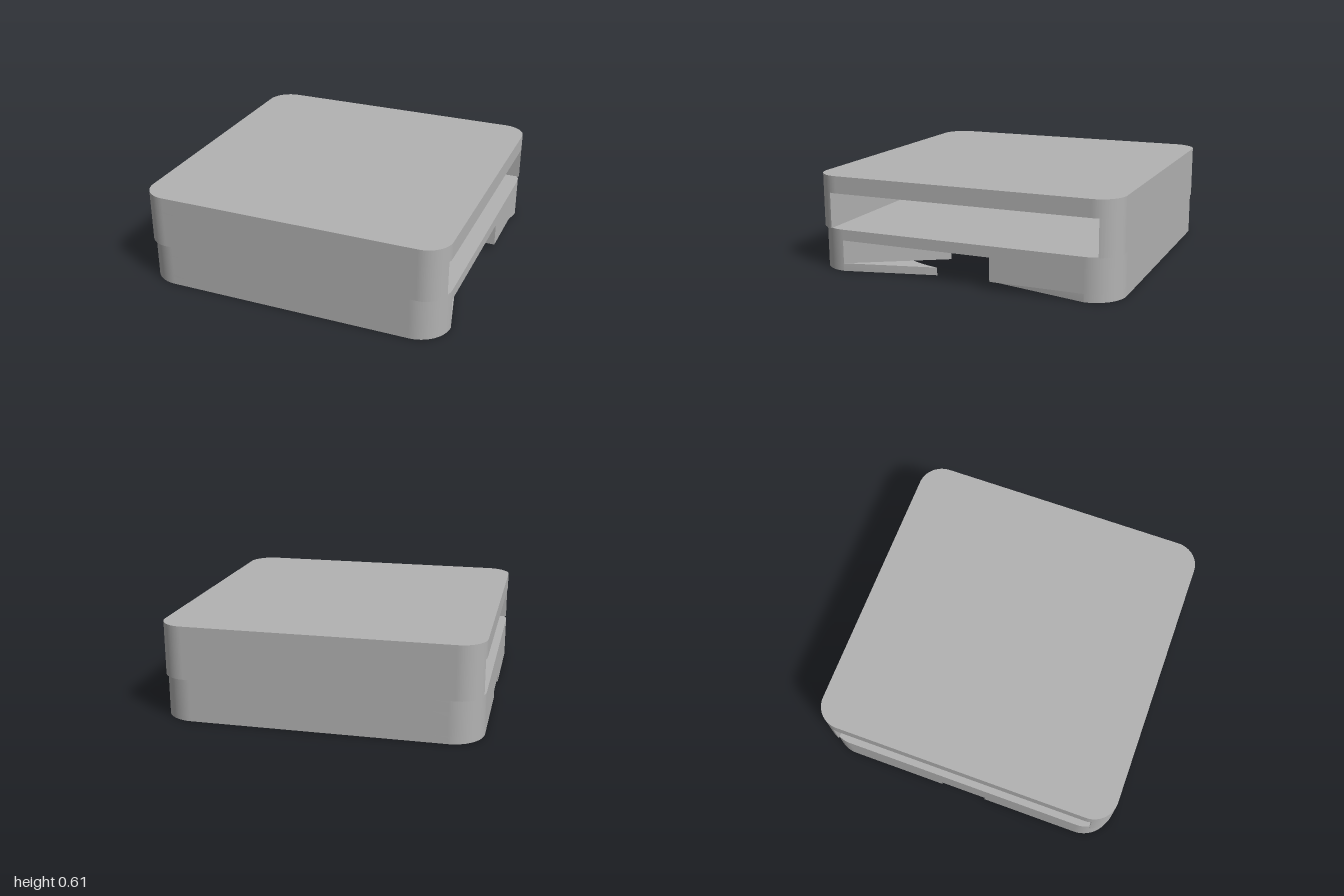
import * as THREE from 'three';
import { toCreasedNormals } from 'three/addons/utils/BufferGeometryUtils.js';

const UPPER_R = 0.16, BASE_R = 0.2;      // corner radii
const RING_R = 0.885, RECESS_R = 0.69;   // round recesses underneath
const WALL_Z = 0.885;                    // inner face of front and back walls
const NOTCH = 0.21;                      // half width of the tall side notch

// Angle of the point on a circle at plan height z, on the +x side
const angleAt = (r, z) => Math.asin(z / r);

function roundedSquare(r) {
  const c = 1 - r, s = new THREE.Shape();
  for (let i = 0; i < 4; i++) {
    const a = i * Math.PI / 2;
    const sx = i === 0 || i === 3 ? 1 : -1, sz = i < 2 ? 1 : -1;
    s.absarc(sx * c, sz * c, r, a, a + Math.PI / 2, false);
  }
  s.closePath();
  return s;
}

// Wall strip along the front (side = 1) or back (side = -1)
function wallShape(side) {
  const c = 1 - UPPER_R, a = angleAt(UPPER_R, WALL_Z - c), s = new THREE.Shape();
  s.absarc(c, side * c, UPPER_R, side * a, side * Math.PI / 2, side < 0);
  s.absarc(-c, side * c, UPPER_R, side * Math.PI / 2, side * (Math.PI - a), side < 0);
  s.closePath();
  return s;
}

// Half of the foot layer, around the wide shallow ring
function footShape(side) {
  const c = 1 - BASE_R, s = new THREE.Shape();
  s.moveTo(1, side * NOTCH);
  s.absarc(c, side * c, BASE_R, 0, side * Math.PI / 2, side < 0);
  s.absarc(-c, side * c, BASE_R, side * Math.PI / 2, side * Math.PI, side < 0);
  s.lineTo(-1, side * 0.155);            // tapered small notch
  s.absarc(0, 0, RING_R, side * (Math.PI - angleAt(RING_R, 0.19)),
    side * angleAt(RING_R, NOTCH), side > 0);
  s.closePath();
  return s;
}

// Layer around the deep round recess, open through the tall notch
function recessShape() {
  const c = 1 - BASE_R, a = angleAt(RECESS_R, NOTCH), s = new THREE.Shape();
  s.moveTo(1, NOTCH);
  s.absarc(c, c, BASE_R, 0, Math.PI / 2, false);
  s.absarc(-c, c, BASE_R, Math.PI / 2, Math.PI, false);
  s.absarc(-c, -c, BASE_R, Math.PI, Math.PI * 1.5, false);
  s.absarc(c, -c, BASE_R, Math.PI * 1.5, Math.PI * 2, false);
  s.lineTo(1, -NOTCH);
  s.absarc(0, 0, RECESS_R, -a, a - Math.PI * 2, true);
  s.closePath();
  return s;
}

export function createModel() {
  const group = new THREE.Group();
  group.name = 'slottedCase';
  const grey = new THREE.MeshStandardMaterial({ color: 0xb3b3b3 });
  grey.name = 'grey';

  // Extrude a plan shape (x, z) between two heights
  const layer = (name, shape, y0, y1) => {
    let g = new THREE.ExtrudeGeometry(shape, { depth: y1 - y0, bevelEnabled: false, curveSegments: 32 });
    g.rotateX(Math.PI / 2).translate(0, y1, 0);
    g = toCreasedNormals(g, 0.4);
    const mesh = new THREE.Mesh(g, grey);
    mesh.name = name;
    group.add(mesh);
  };

  // Base
  layer('frontFoot', footShape(1), 0, 0.05);
  layer('backFoot', footShape(-1), 0, 0.05);
  layer('recessLayer', recessShape(), 0.05, 0.2);
  layer('slotFloor', roundedSquare(BASE_R), 0.2, 0.27);

  // Upper part with the through slot
  layer('frontWall', wallShape(1), 0.27, 0.5);
  layer('backWall', wallShape(-1), 0.27, 0.5);
  layer('lid', roundedSquare(UPPER_R), 0.5, 0.61);

  return group;
}
